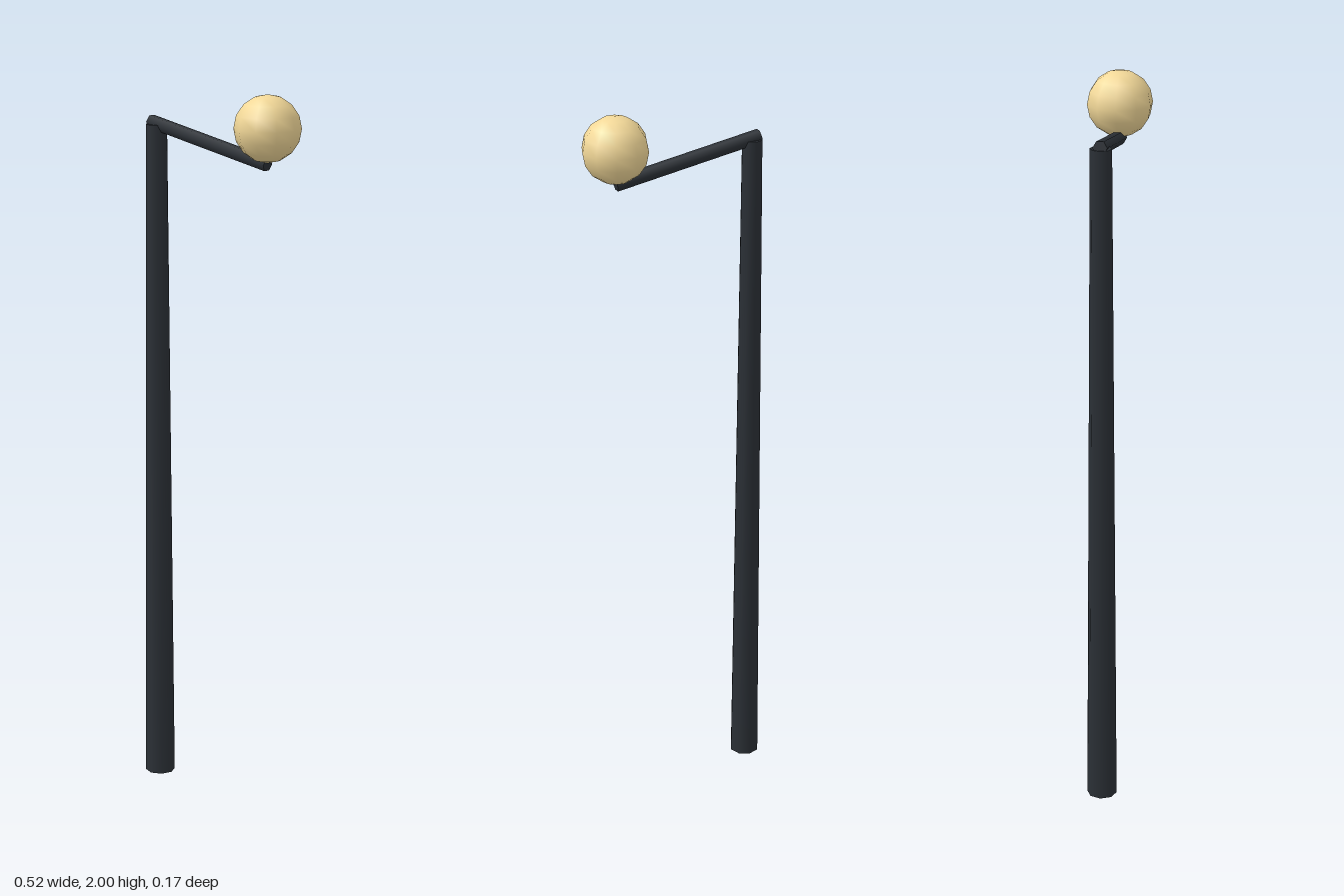
import * as THREE from 'three';

export function createModel() {
  const group = new THREE.Group();
  const metal = new THREE.MeshStandardMaterial({ color: 0x2b3036 });
  const glow = new THREE.MeshStandardMaterial({ color: 0xf2d898 });

  const add = (name, geometry, material, x, y, tilt = 0) => {
    const mesh = new THREE.Mesh(geometry, material);
    mesh.name = name;
    mesh.position.set(x, y, 0);
    mesh.rotation.z = tilt;
    group.add(mesh);
  };

  // tapered eight-sided pole
  const poleHeight = 1.89;
  add('pole', new THREE.CylinderGeometry(0.029, 0.042, poleHeight, 8), metal, -0.22, poleHeight / 2);

  // arm sloping down from the pole top
  add('arm', new THREE.CylinderGeometry(0.0195, 0.0195, 0.42, 6), metal, -0.035, 1.855, Math.PI / 2 - 0.2);

  // round lamp resting on the arm's end
  add('lamp', new THREE.SphereGeometry(0.091, 10, 8), glow, 0.17, 1.909);

  return group;
}
